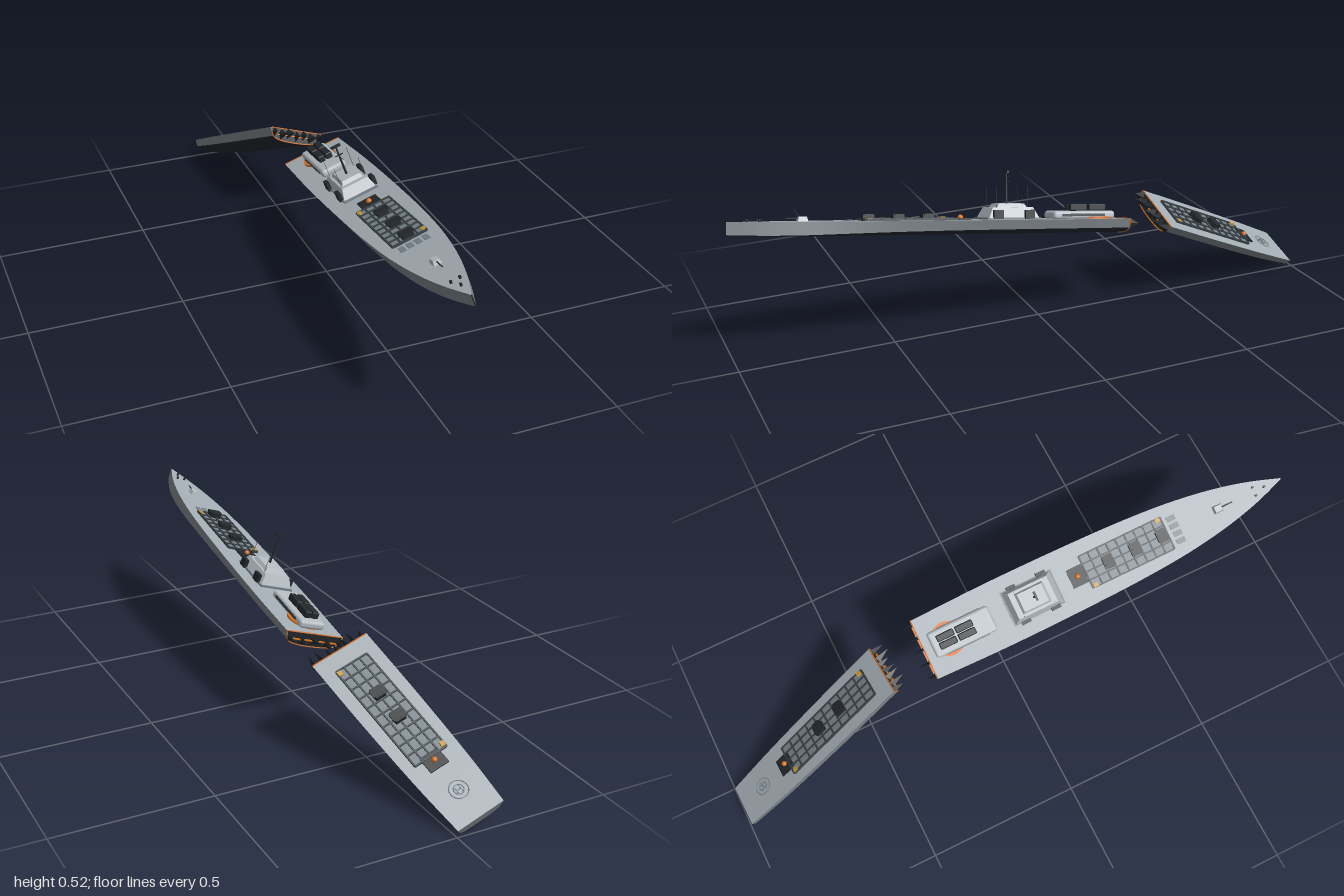
import * as THREE from 'three';
import { RoundedBoxGeometry } from 'three/addons/geometries/RoundedBoxGeometry.js';

const mat = (color) => new THREE.MeshStandardMaterial({ color, side: THREE.DoubleSide });
const M = {
  deck: mat(0xa4adb3), side: mat(0x7c8287), bottom: mat(0x22292d), house: mat(0xb4bcc2),
  dark: mat(0x23282c), panel: mat(0x78828a), line: mat(0x3a4247), orange: mat(0xd9701e), yellow: mat(0xc79a3a),
};

function add(parent, name, geo, material, x = 0, y = 0, z = 0) {
  const m = new THREE.Mesh(geo, material);
  m.name = name;
  m.position.set(x, y, z);
  parent.add(m);
  return m;
}
const box = (p, name, w, h, l, m, x, y, z) => add(p, name, new THREE.BoxGeometry(w, h, l), m, x, y + h / 2, z);

// Box whose top face is narrowed
function taperedBox(p, name, w, h, l, kx, kz, m, x, y, z) {
  const geo = new THREE.BoxGeometry(w, h, l).toNonIndexed();
  const a = geo.attributes.position;
  for (let i = 0; i < a.count; i++) if (a.getY(i) > 0) a.setXYZ(i, a.getX(i) * kx, a.getY(i), a.getZ(i) * kz);
  geo.computeVertexNormals();
  return add(p, name, geo, m, x, y + h / 2, z);
}

// Surface through rows of points
function loft(rows) {
  const n = rows[0].length, idx = [];
  for (let i = 0; i < rows.length - 1; i++) for (let j = 0; j < n - 1; j++) {
    const a = i * n + j, c = a + n;
    idx.push(a, c, a + 1, a + 1, c, c + 1);
  }
  const geo = new THREE.BufferGeometry();
  geo.setAttribute('position', new THREE.Float32BufferAttribute(rows.flat(2), 3));
  geo.setIndex(idx);
  geo.computeVertexNormals();
  return geo;
}

// Half section from deck edge to keel; k = 1 gives straight walls at the stem
function halfSection(w, k, d) {
  const mix = THREE.MathUtils.lerp;
  return [[w, 0], [w * mix(0.88, 1, k), -mix(0.029, 0.041, k) * d], [w * mix(0.8, 0.85, k), -mix(0.035, 0.042, k) * d],
    [w * mix(0.68, 0.65, k), -mix(0.04, 0.043, k) * d], [w * 0.4, -0.044 * d], [0, -0.045 * d]];
}
function fullSection([, w, k, d]) {
  const h = halfSection(w, k, d);
  return [...h, ...h.slice(0, -1).reverse().map(([x, y]) => [-x, y])];
}

// Hull skin from stations [z, halfWidth, stemBlend, depth]
function hull(p, ctrl) {
  const curve = [1, 2, 3].map((c) => new THREE.CatmullRomCurve3(
    ctrl.map((s) => new THREE.Vector3(s[c], 0, s[0])), false, 'centripetal'));
  const st = [];
  for (let i = 0; i <= 36; i++) {
    const q = curve.map((c) => c.getPoint(i / 36));
    st.push([q[0].z, Math.max(q[0].x, 0.001), THREE.MathUtils.clamp(q[1].x, 0, 1), q[2].x]);
  }
  const rows = st.map((s) => fullSection(s).map(([x, y]) => [x, y, s[0]]));
  add(p, 'leftHullSide', loft(rows.map((r) => r.slice(0, 2))), M.side);
  add(p, 'rightHullSide', loft(rows.map((r) => r.slice(-2))), M.side);
  add(p, 'hullBottom', loft(rows.map((r) => r.slice(1, -1))), M.bottom);
  add(p, 'deck', loft(st.map(([z, w]) => [[-w, 0, z], [w, 0, z]])), M.deck);
}

const capGeo = (pts) => new THREE.ShapeGeometry(new THREE.Shape(pts.map(([x, y]) => new THREE.Vector2(x, y))));

// Torn end: dark face, glowing rim and pointed plates; dir is the way it faces
function breakEnd(p, station, dir, count, thick) {
  const pts = fullSection(station), z = station[0], w = station[1];
  add(p, 'breakFace', capGeo(pts), M.dark, 0, 0, z);
  const path = new THREE.CurvePath();
  const v = pts.map(([x, y]) => new THREE.Vector3(x, y, z));
  v.forEach((a, i) => path.add(new THREE.LineCurve3(a, v[(i + 1) % v.length])));
  add(p, 'burningRim', new THREE.TubeGeometry(path, 80, 0.0022, 5, true), M.orange);
  box(p, 'innerDeckEdge', w * 1.6, 0.003, 0.008, M.orange, 0, -0.024, z + dir * 0.003);
  for (let i = 0; i < count; i++) {
    const len = 0.034 + 0.014 * ((i * 3) % 4) / 3;
    const geo = new THREE.ConeGeometry(0.012, len, 4).toNonIndexed();
    geo.computeVertexNormals();
    geo.rotateX(dir * Math.PI / 2);
    const x = (i / (count - 1) - 0.5) * 1.75 * w;
    const s = add(p, 'tornPlate', geo, M.dark, x, -0.015 - 0.006 * (i % 2), z + dir * len / 2);
    s.scale.set(thick, 1.5, 1);
    s.rotation.y = (i % 3 - 1) * 0.15;
  }
}

// Grid of deck cells with raised hatch blocks and a burnt square at one end
function cellGrid(p, z0, z1, rows, blocks, holeZ) {
  const g = new THREE.Group(), w = 0.112, mid = (z0 + z1) / 2, len = z1 - z0;
  g.name = 'cellGrid';
  p.add(g);
  box(g, 'cellPanel', w, 0.003, len, M.panel, 0, 0, mid);
  for (let i = 0; i <= 4; i++) box(g, 'gridBar', 0.005, 0.007, len, M.line, (i / 4 - 0.5) * w, 0, mid);
  for (let i = 0; i <= rows; i++) box(g, 'gridCrossbar', w, 0.007, 0.005, M.line, 0, 0, z0 + len * i / rows);
  for (const z of blocks) {
    box(g, 'hatchBlock', 0.036, 0.016, 0.036, M.dark, 0, 0.003, z);
    box(g, 'hatchLid', 0.046, 0.005, 0.026, M.dark, 0, 0.015, z);
  }
  box(g, 'burntSquare', 0.064, 0.005, 0.054, M.dark, 0, 0, holeZ);
  add(g, 'ember', new THREE.SphereGeometry(0.009, 12, 8), M.orange, 0, 0.007, holeZ);
  box(g, 'yellowMark', 0.014, 0.006, 0.016, M.yellow, -0.05, 0.003, z0 + 0.012);
  box(g, 'yellowMark', 0.014, 0.006, 0.016, M.yellow, 0.05, 0.003, z1 - 0.012);
}

// Section placed by its deck origin, left direction and forward direction
function section(name, origin, left, forward) {
  const g = new THREE.Group();
  g.name = name;
  const f = new THREE.Vector3(...forward).normalize();
  const u = f.clone().cross(new THREE.Vector3(...left)).normalize();
  g.quaternion.setFromRotationMatrix(new THREE.Matrix4().makeBasis(u.clone().cross(f), u, f));
  g.position.set(...origin);
  return g;
}

function foreHalf() {
  const g = section('foreHalf', [0.05, 0.333, -0.26], [0.948, 0.319, -0.01], [-0.036, 0.136, 0.99]);
  const st = [[0, 0.103, 0, 1], [0.26, 0.108, 0, 1], [0.56, 0.105, 0.1, 1], [0.76, 0.098, 0.3, 1],
    [0.92, 0.085, 0.6, 1], [1.06, 0.063, 0.9, 1], [1.17, 0.036, 1, 0.98], [1.27, 0.002, 1, 0.93]];
  hull(g, st);
  breakEnd(g, st[0], -1, 5, 0.5);

  // Aft house with twin launch tubes on a round orange base
  add(g, 'orangeBase', new THREE.CylinderGeometry(0.056, 0.056, 0.006, 32), M.orange, 0, 0.003, 0.085);
  add(g, 'aftHouse', new RoundedBoxGeometry(0.088, 0.026, 0.215, 3, 0.01), M.house, 0, 0.012, 0.135);
  for (const x of [-0.013, 0.013]) for (const z of [0.082, 0.148])
    add(g, 'launchBox', new RoundedBoxGeometry(0.023, 0.022, 0.06, 2, 0.004), M.dark, x, 0.036, z);
  for (const x of [-1, 1]) box(g, 'houseVent', 0.004, 0.008, 0.15, M.line, x * 0.044, 0.008, 0.14);

  // Bridge, side pods, mast and aerials
  box(g, 'bridgeBase', 0.118, 0.006, 0.18, M.panel, 0, 0, 0.385);
  taperedBox(g, 'bridge', 0.112, 0.034, 0.17, 0.8, 0.8, M.house, 0, 0.004, 0.385);
  taperedBox(g, 'bridgeRoof', 0.072, 0.012, 0.1, 0.85, 0.85, M.house, 0, 0.038, 0.385);
  for (const x of [-1, 1]) for (const z of [0.335, 0.44]) {
    box(g, 'sidePod', 0.012, 0.028, 0.032, M.dark, x * 0.06, 0.002, z);
    add(g, 'aerial', new THREE.CylinderGeometry(0.0007, 0.0007, 0.07, 5), M.line, x * 0.042, 0.07, z);
  }
  const mast = new THREE.Group();
  mast.name = 'mast';
  mast.position.set(0, 0.045, 0.39);
  g.add(mast);
  add(mast, 'mastPole', new THREE.CylinderGeometry(0.0025, 0.004, 0.105, 8), M.dark, 0, 0.052, 0);
  box(mast, 'yard', 0.026, 0.003, 0.003, M.dark, 0, 0.072, 0);
  box(mast, 'radarBar', 0.031, 0.008, 0.007, M.dark, 0, 0.101, 0);

  cellGrid(g, 0.575, 0.865, 9, [0.655, 0.75, 0.845], 0.545);
  for (let i = 0; i < 4; i++) box(g, 'deckVent', 0.018, 0.002, 0.03, M.panel, -0.04 + i * 0.026, 0, 0.895);

  // Foredeck gun and bollards
  taperedBox(g, 'gunTurret', 0.026, 0.014, 0.032, 0.75, 0.75, M.house, 0, 0, 1.045);
  add(g, 'gunBarrel', new THREE.CylinderGeometry(0.002, 0.002, 0.04, 8).rotateX(Math.PI / 2), M.dark, 0, 0.009, 1.075);
  for (const [x, z] of [[-0.014, 1.175], [0.014, 1.175], [0, 1.21]])
    add(g, 'bollard', new THREE.CylinderGeometry(0.004, 0.004, 0.008, 10), M.dark, x, 0.004, z);
  return g;
}

function aftHalf() {
  const g = section('aftHalf', [0.048, 0.343, -0.41], [0.943, -0.33, -0.04], [0.191, 0.433, 0.881]);
  const st = [[-0.663, 0.08, 0, 0.8], [-0.5, 0.09, 0, 0.95], [-0.25, 0.097, 0, 1], [0, 0.099, 0, 1]];
  hull(g, st);
  add(g, 'transom', capGeo(fullSection(st[0])).rotateY(Math.PI), M.side, 0, 0, st[0][0]);
  breakEnd(g, st[3], 1, 7, 0.8);
  cellGrid(g, -0.44, -0.06, 10, [-0.285, -0.19], -0.455);

  // Landing circle
  for (const r of [0.015, 0.028])
    add(g, 'deckCircle', new THREE.TorusGeometry(r, 0.0015, 6, 32).rotateX(Math.PI / 2), M.panel, 0, 0.001, -0.565);
  for (const x of [-0.007, 0.007]) box(g, 'circleMark', 0.003, 0.002, 0.022, M.panel, x, 0, -0.565);
  box(g, 'circleMark', 0.014, 0.002, 0.003, M.panel, 0, 0, -0.565);
  return g;
}

export function createModel() {
  const model = new THREE.Group();
  model.name = 'brokenShip';
  model.add(foreHalf(), aftHalf());
  return model;
}
